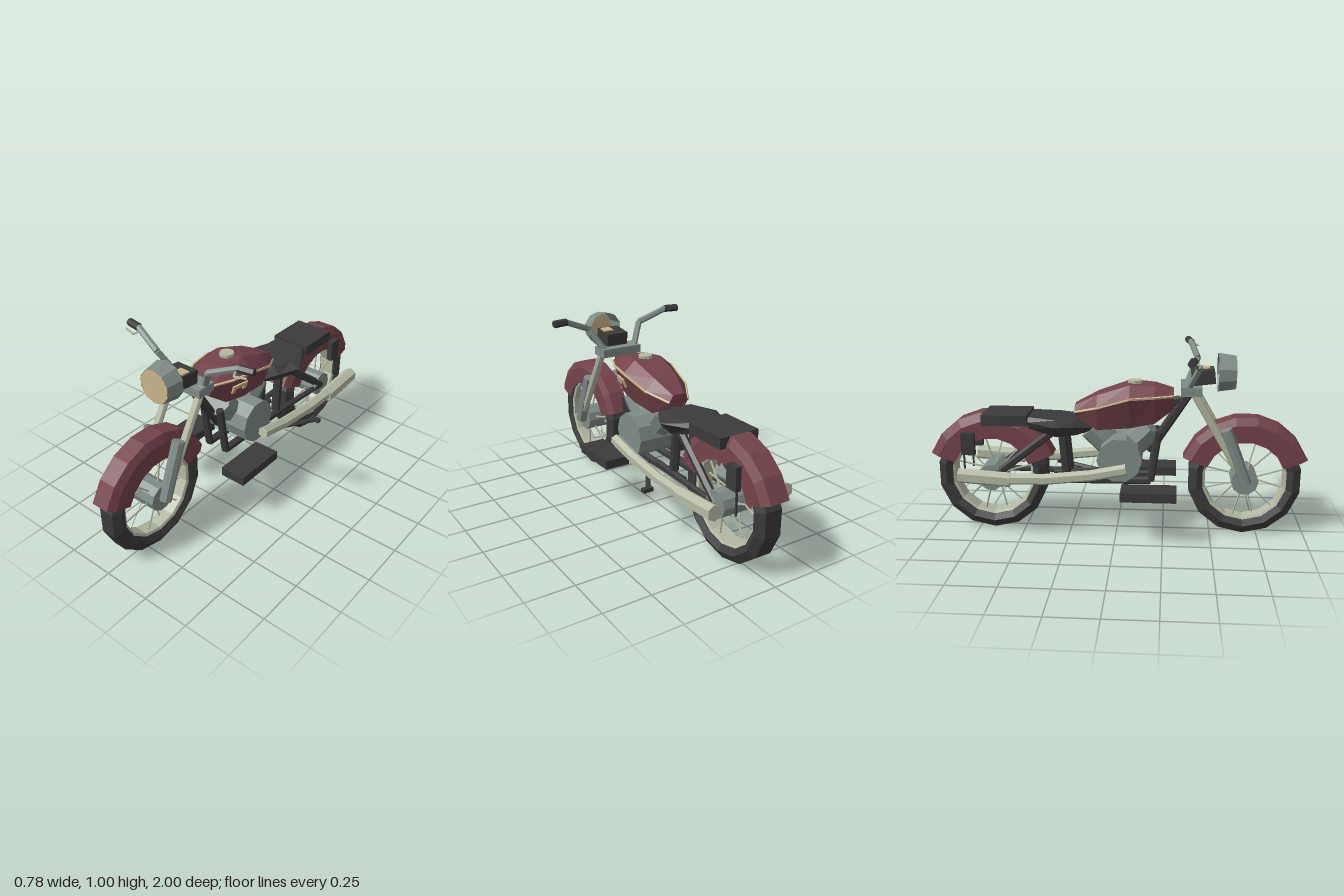
import * as THREE from 'three';

const mat = (name, color) => {
  const m = new THREE.MeshStandardMaterial({ color, flatShading: true, side: THREE.DoubleSide });
  m.name = name;
  return m;
};

export function createModel() {
  const root = new THREE.Group();
  root.name = 'motorcycle';
  const red = mat('maroon paint', 0x74424a);
  const black = mat('black', 0x3b3b3b);
  const grey = mat('grey metal', 0x7f8c87);
  const pale = mat('pale metal', 0xb4baa4);
  const cream = mat('cream', 0xcbb48a);
  const V = (p) => new THREE.Vector3(...p);

  const add = (name, geo, material, parent = root) => {
    const m = new THREE.Mesh(geo, material);
    m.name = name;
    parent.add(m);
    return m;
  };
  const box = (name, material, w, h, d, x, y, z, parent = root) => {
    const m = add(name, new THREE.BoxGeometry(w, h, d), material, parent);
    m.position.set(x, y, z);
    return m;
  };
  // Straight rod from a to b, with optional taper
  const rod = (name, material, a, b, r, sides = 6, r2 = r, parent = root) => {
    const p = V(a), q = V(b), d = q.clone().sub(p);
    const geo = new THREE.CylinderGeometry(r2, r, d.length(), sides);
    if (sides === 4) geo.rotateY(Math.PI / 4);
    const m = add(name, geo, material, parent);
    m.position.copy(p).add(q).multiplyScalar(0.5);
    m.quaternion.setFromUnitVectors(new THREE.Vector3(0, 1, 0), d.normalize());
    return m;
  };
  const path = (name, material, pts, r, sides) => {
    for (let i = 1; i < pts.length; i++) rod(name, material, pts[i - 1], pts[i], r, sides);
  };
  // Profile [radius, x] turned about the x axis; angle runs from +z towards +y
  const turned = (profile, segs, start = -Math.PI / 2, len = Math.PI * 2) =>
    new THREE.LatheGeometry(profile.map(([r, a]) => new THREE.Vector2(r, a)), segs, start, len).rotateZ(Math.PI / 2);
  // Skin over equal rings ordered from front to back, capped at both ends
  const loft = (rings) => {
    const n = rings[0].length, idx = [];
    for (let i = 0; i < rings.length - 1; i++) for (let j = 0; j < n; j++) {
      const a = i * n + j, b = i * n + (j + 1) % n, c = b + n, d = a + n;
      idx.push(a, d, c, a, c, b);
    }
    const e = (rings.length - 1) * n;
    for (let j = 1; j < n - 1; j++) idx.push(0, j, j + 1, e, e + j + 1, e + j);
    const g = new THREE.BufferGeometry();
    g.setAttribute('position', new THREE.Float32BufferAttribute(rings.flat(2), 3));
    g.setIndex(idx);
    g.computeVertexNormals();
    return g;
  };
  // Six-sided ring: bottom, seam and top half-widths and heights
  const ring = ([z, wb, yb, wm, ym, wt, yt]) =>
    [[-wb, yb, z], [wb, yb, z], [wm, ym, z], [wt, yt, z], [-wt, yt, z], [-wm, ym, z]];

  // Wheels with tyre, rim, hub, spokes and mudguard
  const wheel = (name, z, w, hubHalf, fw, fr) => {
    const g = new THREE.Group();
    g.name = name;
    g.position.set(0, 0.3, z);
    root.add(g);
    add('tyre', turned([[0.225, -w * 0.75], [0.258, -w], [0.3, -w * 0.65], [0.3, w * 0.65], [0.258, w], [0.225, w * 0.75], [0.225, -w * 0.75]], 14), black, g);
    add('rim', turned([[0.212, -w * 0.6], [0.226, -w * 0.7], [0.226, w * 0.7], [0.212, w * 0.6], [0.212, -w * 0.6]], 14), pale, g);
    add('hub', new THREE.CylinderGeometry(0.072, 0.072, hubHalf * 2, 10).rotateZ(Math.PI / 2), grey, g);
    for (let i = 0; i < 12; i++) {
      const a = (i + 0.5) * Math.PI / 6, c = Math.cos(a), s = Math.sin(a), k = i % 2 ? 1 : -1;
      rod('spoke', pale, [k * w * 0.5, s * 0.06, c * 0.06], [k * w * 0.25, s * 0.216, c * 0.216], 0.005, 4, 0.005, g);
    }
    const d = Math.PI / 180;
    add('mudguard', turned([[0.212, -fw], [0.305, -fw], [fr, -fw * 0.7], [fr, fw * 0.7], [0.305, fw], [0.212, fw]], 7, 20 * d, 140 * d), red, g);
  };
  wheel('frontWheel', 0.676, 0.06, 0.075, 0.066, 0.345);
  wheel('rearWheel', -0.668, 0.07, 0.1, 0.076, 0.35);

  // Fuel tank, seam stripes, cap and side plate
  const tank = [
    [0.295, 0.055, 0.68, 0.085, 0.755, 0.05, 0.775],
    [0.2, 0.08, 0.61, 0.127, 0.755, 0.07, 0.8],
    [0.07, 0.09, 0.585, 0.15, 0.75, 0.08, 0.81],
    [-0.1, 0.08, 0.57, 0.122, 0.695, 0.065, 0.752],
    [-0.22, 0.04, 0.63, 0.056, 0.657, 0.035, 0.692],
  ];
  add('fuelTank', loft(tank.map(ring)), red);
  for (const s of [-1, 1])
    path('tankStripe', cream, tank.map(([z, , , wm, ym]) => [s * wm, ym, z]), 0.007, 4);
  const cap = add('fuelCap', new THREE.CylinderGeometry(0.038, 0.038, 0.022, 8), pale);
  cap.position.set(0, 0.812, 0.095);
  const plate = new THREE.Group();
  plate.name = 'tankSidePlate';
  plate.position.set(0.119, 0.685, 0.14);
  plate.rotation.set(0, -0.17, -0.335);
  root.add(plate);
  box('plateTop', cream, 0.009, 0.024, 0.095, 0, 0.012, 0, plate);
  box('plateFront', cream, 0.009, 0.024, 0.022, 0, -0.012, 0.036, plate);
  box('plateRear', cream, 0.009, 0.024, 0.022, 0, -0.012, -0.036, plate);

  // Seats
  add('seat', loft([
    [-0.13, 0.05, 0.56, 0.065, 0.575, 0.05, 0.59],
    [-0.21, 0.08, 0.54, 0.115, 0.59, 0.08, 0.622],
    [-0.31, 0.11, 0.535, 0.172, 0.6, 0.11, 0.625],
    [-0.46, 0.09, 0.575, 0.108, 0.61, 0.09, 0.635],
  ].map(ring)), black);
  box('pillionSeat', black, 0.22, 0.056, 0.24, 0, 0.617, -0.585);

  // Engine: crankcase and two cylinders in a vee
  const crank = add('crankcase', new THREE.CylinderGeometry(0.118, 0.118, 0.3, 10).rotateZ(Math.PI / 2), grey);
  crank.position.set(0, 0.425, 0.02);
  rod('frontCylinder', grey, [0, 0.43, 0.04], [0, 0.575, 0.18], 0.07, 8, 0.08);
  rod('rearCylinder', grey, [0, 0.43, 0], [0, 0.57, -0.13], 0.07, 8, 0.08);

  // Frame
  rod('frameSpine', black, [0, 0.79, 0.395], [0, 0.44, 0.17], 0.026, 6);
  rod('frameTopTube', black, [0, 0.72, 0.33], [0, 0.58, -0.28], 0.025, 6);
  for (const s of [-1, 1]) {
    const x = s * 0.055;
    path('frameRail', black, [[x, 0.56, 0.22], [x, 0.29, 0.18], [x, 0.285, -0.35]], 0.021, 6);
    rod('seatPost', black, [x, 0.55, -0.285], [x, 0.31, -0.265], 0.025, 6);
    rod('rearStay', black, [s * 0.07, 0.55, -0.34], [s * 0.09, 0.3, -0.665], 0.022, 6);
    rod('swingArm', black, [s * 0.06, 0.3, -0.12], [s * 0.09, 0.295, -0.665], 0.016, 6);
    box('rearSideBox', black, 0.032, 0.12, 0.07, s * 0.09, 0.485, -0.785);
    rod('rearBoxStrut', black, [s * 0.09, 0.43, -0.81], [s * 0.09, 0.3, -0.81], 0.006, 4);
    box('footboard', black, 0.14, 0.048, 0.285, s * 0.215, 0.274, 0.175);

    // Exhaust pipe and silencer
    const ex = s * 0.21;
    path('exhaustPipe', pale, [[ex, 0.4, 0.06], [ex, 0.363, -0.12], [ex, 0.337, -0.36], [ex, 0.335, -0.56]], 0.03, 6);
    rod('silencer', pale, [ex, 0.33, -0.54], [ex, 0.348, -0.81], 0.04, 6);

    // Fork
    const fx = s * 0.092;
    rod('forkTube', pale, [fx, 0.8, 0.385], [fx, 0.32, 0.665], 0.021, 8);
    rod('forkSlider', grey, [fx, 0.585, 0.565], [fx, 0.295, 0.678], 0.032, 8);

    // Handlebar, grip and lever
    path('handlebar', grey, [[s * 0.09, 0.79, 0.365], [s * 0.16, 0.915, 0.42], [s * 0.315, 0.98, 0.385]], 0.017, 6);
    rod('grip', black, [s * 0.31, 0.979, 0.386], [s * 0.388, 0.979, 0.372], 0.02, 6);
    path('lever', pale, [[s * 0.3, 0.965, 0.395], [s * 0.312, 0.957, 0.425], [s * 0.375, 0.961, 0.41]], 0.006, 4);
  }

  // Side stand
  rod('sideStand', black, [0.06, 0.285, -0.02], [0.265, 0.285, -0.35], 0.013, 6);
  box('sideStandFoot', black, 0.055, 0.02, 0.026, 0.27, 0.29, -0.35);

  // Fork clamp, instrument box and headlamp
  box('forkClamp', grey, 0.235, 0.045, 0.105, 0, 0.785, 0.385);
  const dash = box('instrumentBox', black, 0.125, 0.07, 0.12, 0, 0.848, 0.445);
  dash.rotation.x = -0.12;
  box('gauge', cream, 0.055, 0.008, 0.05, 0.028, 0.0375, 0.015, dash);
  const lamp = new THREE.Group();
  lamp.name = 'headlamp';
  lamp.position.set(0, 0.868, 0.565);
  root.add(lamp);
  add('headlampShell', new THREE.CylinderGeometry(0.088, 0.101, 0.09, 10, 1, true).rotateX(Math.PI / 2), grey, lamp);
  const lens = add('headlampLens', new THREE.CylinderGeometry(0.086, 0.086, 0.006, 10).rotateX(Math.PI / 2), cream, lamp);
  lens.position.z = 0.043;

  return root;
}
